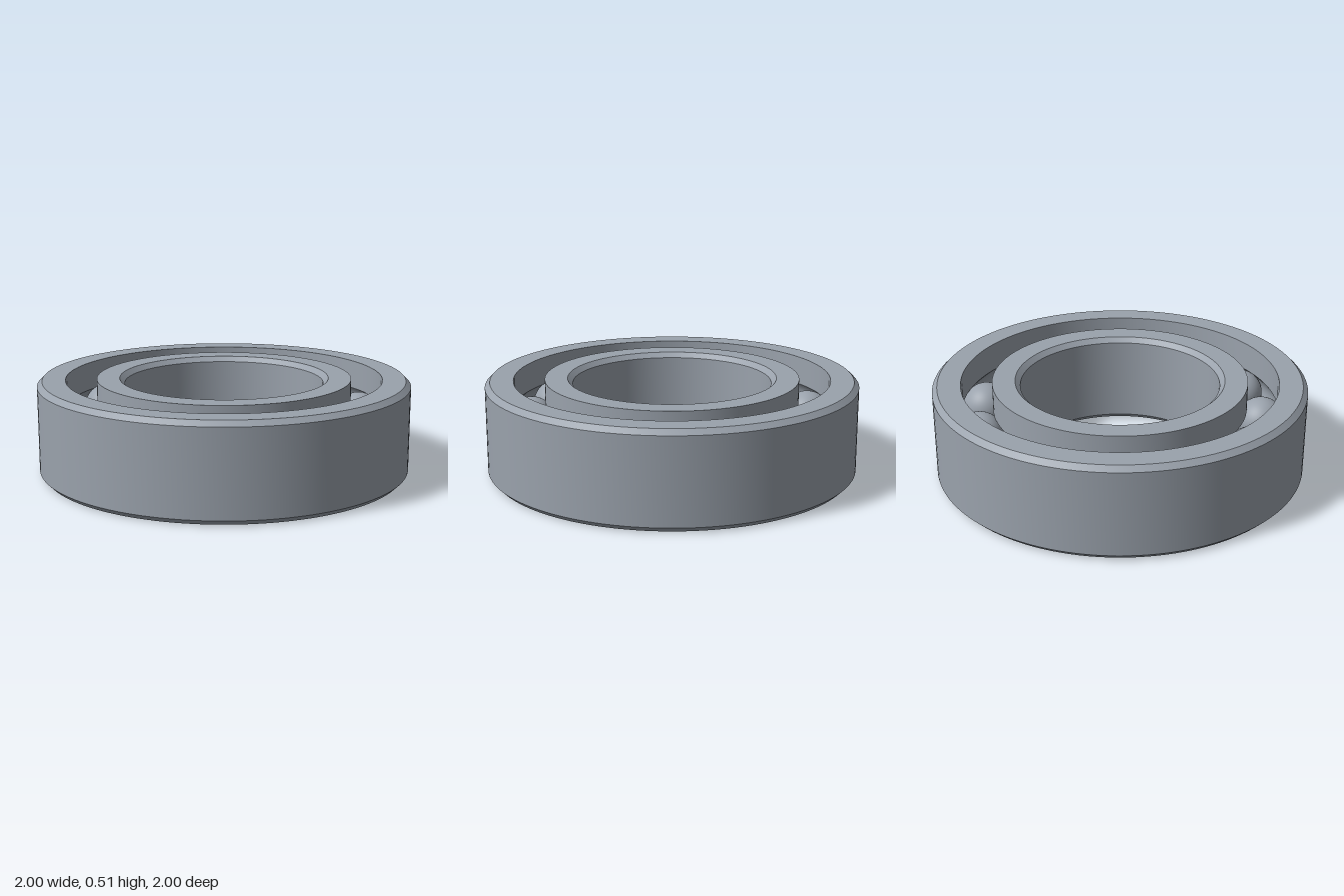
import * as THREE from 'three';
import { toCreasedNormals } from 'three/addons/utils/BufferGeometryUtils.js';

const HEIGHT = 0.51, MID = HEIGHT / 2, CHAMFER = 0.027;
const PITCH = 0.766, BALL_R = 0.129, BALLS = 13;
const GAP = 0.083; // distance from the pitch circle to each ring's shoulder

// Raceway groove arc, running between two angles around the ball centre
function groove(from, to, steps = 12) {
  const points = [];
  for (let i = 0; i <= steps; i++) {
    const a = from + (to - from) * i / steps;
    points.push([PITCH + BALL_R * Math.cos(a), MID + BALL_R * Math.sin(a)]);
  }
  return points;
}

// Ring turned from a closed anticlockwise profile of [radius, height] points
function ring(name, profile, material) {
  const points = [...profile, profile[0]].map(([r, y]) => new THREE.Vector2(r, y));
  const geometry = toCreasedNormals(new THREE.LatheGeometry(points, 128), 0.5);
  const mesh = new THREE.Mesh(geometry, material);
  mesh.name = name;
  return mesh;
}

export function createModel() {
  const model = new THREE.Group();
  model.name = 'ballBearing';
  const steel = new THREE.MeshStandardMaterial({ color: 0x9aa2ac });
  steel.name = 'steel';
  const a = Math.acos(GAP / BALL_R);

  // Outer ring: chamfered outside, raceway inside
  model.add(ring('outerRing', [
    [1 - CHAMFER, 0], [1, CHAMFER], [1, HEIGHT - CHAMFER], [1 - CHAMFER, HEIGHT],
    [PITCH + GAP, HEIGHT], ...groove(a, -a), [PITCH + GAP, 0],
  ], steel));

  // Inner ring: raceway outside, chamfered bore
  const bore = 0.534;
  model.add(ring('innerRing', [
    [PITCH - GAP, 0], ...groove(Math.PI + a, Math.PI - a), [PITCH - GAP, HEIGHT],
    [bore + CHAMFER, HEIGHT], [bore, HEIGHT - CHAMFER], [bore, CHAMFER], [bore + CHAMFER, 0],
  ], steel));

  // Balls evenly spaced on the pitch circle
  const balls = new THREE.Group();
  balls.name = 'balls';
  const ballGeometry = new THREE.SphereGeometry(BALL_R, 40, 24);
  const start = THREE.MathUtils.degToRad(12.1);
  for (let i = 0; i < BALLS; i++) {
    const t = start + i * 2 * Math.PI / BALLS;
    const ball = new THREE.Mesh(ballGeometry, steel);
    ball.name = 'ball';
    ball.position.set(PITCH * Math.cos(t), MID, PITCH * Math.sin(t));
    balls.add(ball);
  }
  model.add(balls);
  return model;
}
